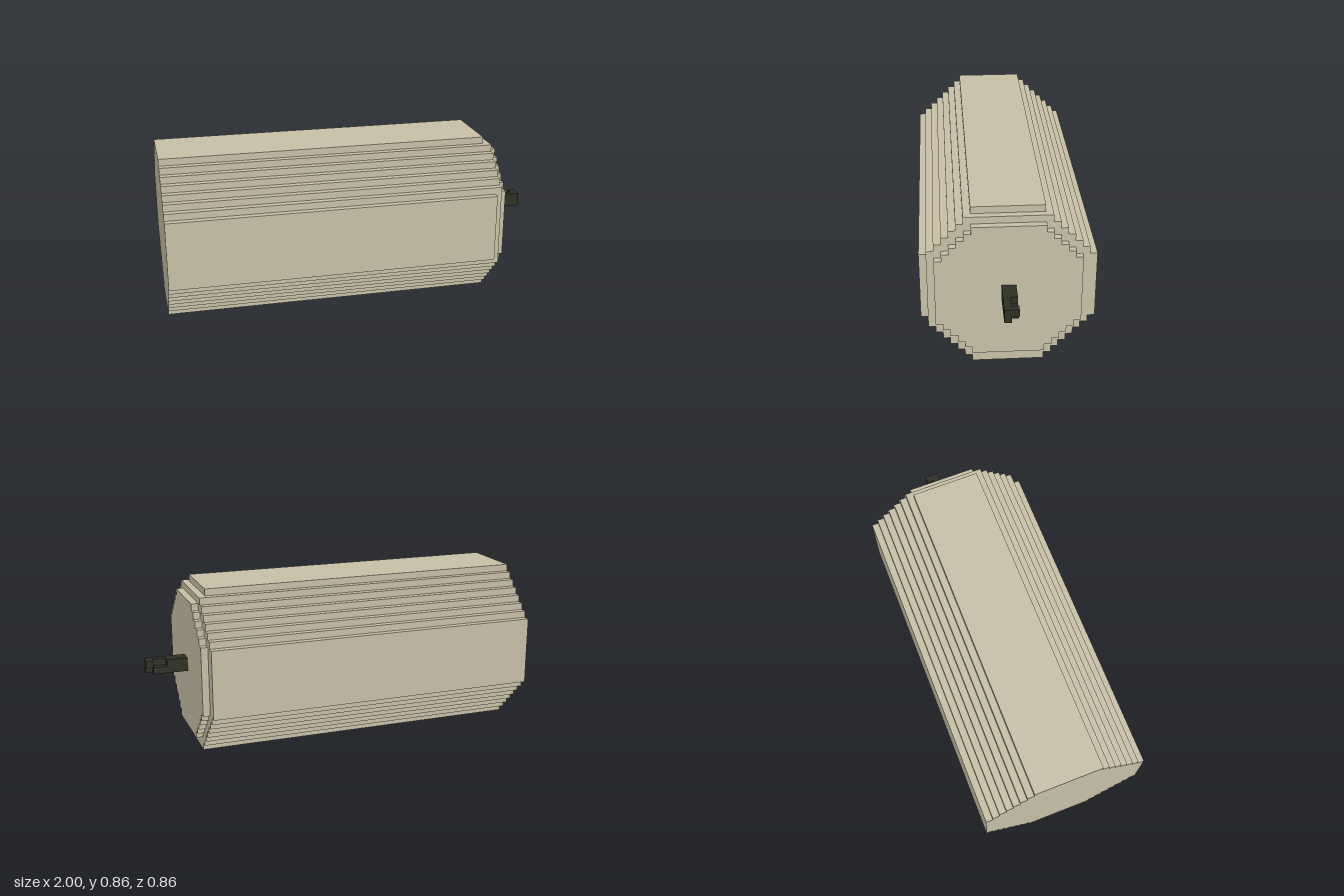
import * as THREE from 'three';

const U = 2 / 56; // edge of one block
const AXIS = 12 * U; // height of the cylinder axis

// Stepped octagon of the given radius (in blocks), optionally trimmed on its left and top
function steppedOutline(radius, trim = radius) {
  const quarter = [];
  for (let k = 5; k < radius; k++) {
    quarter.push([k, radius + 5 - k], [k, radius + 4 - k]);
  }
  quarter.push([radius, 5]);

  const points = [];
  for (let turn = 0; turn < 4; turn++) {
    for (const corner of quarter) {
      let [x, y] = corner;
      for (let i = 0; i < turn; i++) [x, y] = [y, -x];
      const p = new THREE.Vector2(Math.max(x, -trim) * U, Math.min(y, trim) * U);
      const last = points[points.length - 1];
      if (!last || !last.equals(p)) points.push(p);
    }
  }
  if (points[0].equals(points[points.length - 1])) points.pop();
  return new THREE.Shape(points);
}

export function createModel() {
  const model = new THREE.Group();
  model.name = 'blockCylinder';

  const casing = new THREE.MeshStandardMaterial({ color: 0xc8bfa7 });
  casing.name = 'beige casing';
  const dark = new THREE.MeshStandardMaterial({ color: 0x2f3024 });
  dark.name = 'dark pin';

  // Extrudes an outline along x between two block positions
  function slab(name, shape, from, to) {
    const geometry = new THREE.ExtrudeGeometry(shape, { depth: (to - from) * U, bevelEnabled: false });
    geometry.rotateY(Math.PI / 2); // the outline's left becomes the front
    const mesh = new THREE.Mesh(geometry, casing);
    mesh.name = name;
    mesh.position.set(-1 + from * U, AXIS, 0);
    model.add(mesh);
  }

  slab('body', steppedOutline(12), 0, 48);
  slab('collar', steppedOutline(12, 11), 48, 49); // set in at the top and front only
  slab('endCap', steppedOutline(10), 49, 50);

  // Square pin with notches on its back side
  const pin = new THREE.Group();
  pin.name = 'pin';
  model.add(pin);
  function bar(name, from, to, y, h, z) {
    const mesh = new THREE.Mesh(new THREE.BoxGeometry((to - from) * U, h * U, U), dark);
    mesh.name = name;
    mesh.position.set(-1 + ((from + to) / 2) * U, AXIS + y * U, z * U);
    pin.add(mesh);
  }
  bar('pinFront', 50, 56, 0, 2, 0.5);
  bar('pinBackLower', 50, 55, -0.5, 1, -0.5);
  bar('pinBackUpper', 50, 53, 0.5, 1, -0.5);
  bar('pinBackTip', 55, 56, 0.5, 1, -0.5);

  return model;
}
